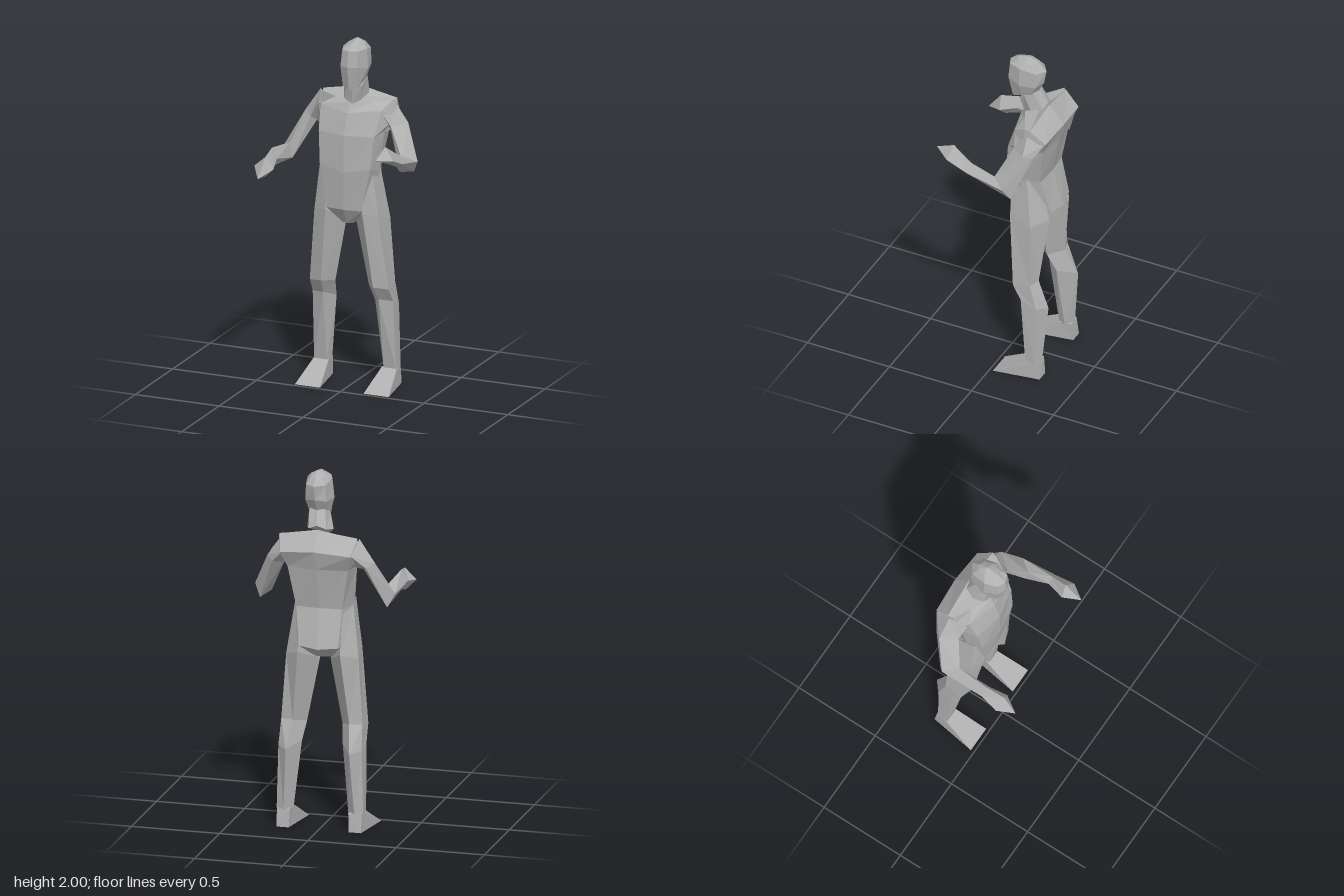
import * as THREE from 'three';

const grey = new THREE.MeshStandardMaterial({ color: 0xb0b0b0 });
grey.name = 'plain grey';

// Faceted skin through a list of rings, closed by fans at both ends.
function loft(name, rings, tip) {
  const tris = [];
  const n = rings[0].length;
  const middle = r => [0, 1, 2].map(k => r.reduce((s, p) => s + p[k], 0) / n);
  const first = rings[0], last = rings[rings.length - 1];
  const startMid = middle(first), endMid = tip || middle(last);
  for (let i = 0; i < n; i++) {
    const j = (i + 1) % n;
    for (let r = 0; r + 1 < rings.length; r++) {
      const a = rings[r], b = rings[r + 1];
      tris.push([a[i], a[j], b[j]], [a[i], b[j], b[i]]);
    }
    tris.push([startMid, first[j], first[i]], [endMid, last[i], last[j]]);
  }
  // Turn every face outward, whichever way the rings run.
  let volume = 0;
  const [a, b, c] = [0, 1, 2].map(() => new THREE.Vector3());
  for (const t of tris) {
    a.fromArray(t[0]); b.fromArray(t[1]); c.fromArray(t[2]);
    volume += a.dot(b.cross(c));
  }
  if (volume < 0) tris.forEach(t => t.reverse());
  const geometry = new THREE.BufferGeometry();
  geometry.setAttribute('position', new THREE.Float32BufferAttribute(tris.flat(2), 3));
  geometry.computeVertexNormals();
  const mesh = new THREE.Mesh(geometry, grey);
  mesh.name = name;
  return mesh;
}

// Half ring from front middle to back middle, mirrored about x = cx.
function ring(cx, half) {
  const left = half.map(([x, y, z]) => [cx + x, y, z]);
  const right = half.slice(1, -1).reverse().map(([x, y, z]) => [cx - x, y, z]);
  return [...left, ...right];
}

const flip = (side, rings) => rings.map(r => r.map(([x, y, z]) => [side * x, y, z]));

export function createModel() {
  const model = new THREE.Group();
  model.name = 'standingFigure';

  // Torso: crotch, hem, waist, chest, shoulder blades, shoulder line
  model.add(loft('torso', [
    ring(0, [[0, 0.94, -0.09], [0.03, 0.94, -0.1], [0.05, 0.95, -0.15], [0.04, 0.97, -0.22], [0, 0.97, -0.23]]),
    ring(0, [[0, 1.03, -0.04], [0.105, 1.03, -0.05], [0.15, 1.03, -0.15], [0.11, 1.04, -0.29], [0, 1.03, -0.31]]),
    ring(0.01, [[0, 1.25, -0.02], [0.15, 1.28, -0.04], [0.165, 1.25, -0.13], [0.13, 1.25, -0.24], [0, 1.25, -0.25]]),
    ring(0.01, [[0, 1.46, -0.025], [0.165, 1.46, -0.06], [0.19, 1.48, -0.15], [0.17, 1.48, -0.27], [0, 1.48, -0.295]]),
    ring(0.015, [[0, 1.58, -0.06], [0.18, 1.6, -0.11], [0.24, 1.55, -0.19], [0.2, 1.57, -0.31], [0, 1.585, -0.322]]),
    ring(0.02, [[0, 1.635, -0.09], [0.11, 1.64, -0.14], [0.21, 1.645, -0.19], [0.22, 1.65, -0.225], [0, 1.69, -0.235]]),
  ]));

  // Neck
  model.add(loft('neck', [
    ring(0.025, [[0, 1.62, -0.09], [0.05, 1.65, -0.11], [0.075, 1.68, -0.16], [0.05, 1.69, -0.22], [0, 1.71, -0.23]]),
    ring(0.04, [[0, 1.73, -0.08], [0.05, 1.74, -0.09], [0.06, 1.77, -0.12], [0.045, 1.79, -0.17], [0, 1.79, -0.18]]),
  ]));

  // Head: jaw, cheeks, brow, crown
  model.add(loft('head', [
    ring(0.04, [[0, 1.72, -0.025], [0.045, 1.74, -0.045], [0.06, 1.77, -0.11], [0.05, 1.78, -0.16], [0, 1.78, -0.18]]),
    ring(0.042, [[0, 1.86, 0], [0.05, 1.86, -0.02], [0.08, 1.84, -0.1], [0.06, 1.84, -0.19], [0, 1.85, -0.215]]),
    ring(0.044, [[0, 1.95, -0.01], [0.045, 1.95, -0.03], [0.07, 1.95, -0.1], [0.055, 1.93, -0.19], [0, 1.93, -0.23]]),
    ring(0.046, [[0, 1.985, -0.06], [0.03, 1.975, -0.07], [0.045, 1.975, -0.12], [0.03, 1.97, -0.17], [0, 1.975, -0.18]]),
  ], [0.046, 2, -0.13]));

  // Wrist and hand rings: outer, top, inner, bottom; the two arms are bent differently
  const hands = {
    left: {
      side: 1, shift: 0.01, tip: [0.34, 1.45, 0.29],
      rings: [
        [[0.405, 1.38, 0.08], [0.37, 1.435, 0.08], [0.335, 1.4, 0.08], [0.37, 1.36, 0.08]],
        [[0.405, 1.43, 0.2], [0.35, 1.5, 0.18], [0.297, 1.44, 0.19], [0.35, 1.39, 0.14]],
      ],
    },
    right: {
      side: -1, shift: 0, tip: [-0.35, 1.265, 0.32],
      rings: [
        [[0.39, 1.33, 0.13], [0.35, 1.39, 0.13], [0.32, 1.33, 0.13], [0.355, 1.28, 0.12]],
        [[0.41, 1.31, 0.23], [0.34, 1.37, 0.24], [0.297, 1.3, 0.23], [0.35, 1.25, 0.22]],
      ],
    },
  };

  for (const [label, { side, shift, tip, rings }] of Object.entries(hands)) {
    // Shoulder, upper arm and elbow
    const upper = [
      [[0.21, 1.65, -0.21], [0.18, 1.6, -0.11], [0.17, 1.46, -0.14], [0.19, 1.57, -0.305]],
      [[0.3, 1.52, -0.215], [0.235, 1.51, -0.13], [0.215, 1.48, -0.17], [0.26, 1.5, -0.26]],
      [[0.392, 1.33, -0.135], [0.33, 1.36, -0.06], [0.315, 1.28, -0.07], [0.355, 1.26, -0.17]],
    ].map(r => r.map(([x, y, z]) => [x + shift, y, z]));
    model.add(loft(label + 'UpperArm', flip(side, upper)));
    model.add(loft(label + 'Forearm', flip(side, [upper[2], rings[0]])));
    model.add(loft(label + 'Hand', flip(side, rings), tip));

    // Leg rings: front, front outer, back outer, back, inner
    const hip = [
      [[0.11, 1.24, -0.05], [0.155, 1.28, -0.08], [0.165, 1.26, -0.17], [0.12, 1.22, -0.235], [0.06, 1.12, -0.14]],
      [[0.11, 1.02, -0.045], [0.19, 1, -0.08], [0.205, 0.97, -0.21], [0.12, 1, -0.285], [0.03, 0.94, -0.15]],
    ];
    const knee = [[0.155, 0.59, -0.09], [0.235, 0.58, -0.12], [0.23, 0.6, -0.22], [0.16, 0.6, -0.24], [0.1, 0.58, -0.16]];
    const calf = [[0.165, 0.51, -0.14], [0.24, 0.5, -0.17], [0.235, 0.46, -0.26], [0.18, 0.45, -0.31], [0.115, 0.48, -0.21]];
    const ankle = [[0.17, 0.1, -0.2], [0.245, 0.1, -0.2], [0.245, 0.1, -0.26], [0.2, 0.1, -0.28], [0.155, 0.1, -0.24]];
    model.add(loft(label + 'Thigh', flip(side, [...hip, knee])));
    model.add(loft(label + 'Shin', flip(side, [knee, calf, ankle])));

    // Wedge foot
    model.add(loft(label + 'Foot', flip(side, [
      [[0.13, 0, -0.02], [0.28, 0, -0.02], [0.24, 0, -0.285], [0.17, 0, -0.285]],
      [[0.158, 0.105, -0.2], [0.248, 0.105, -0.2], [0.24, 0.105, -0.27], [0.165, 0.105, -0.275]],
    ])));
  }
  return model;
}
